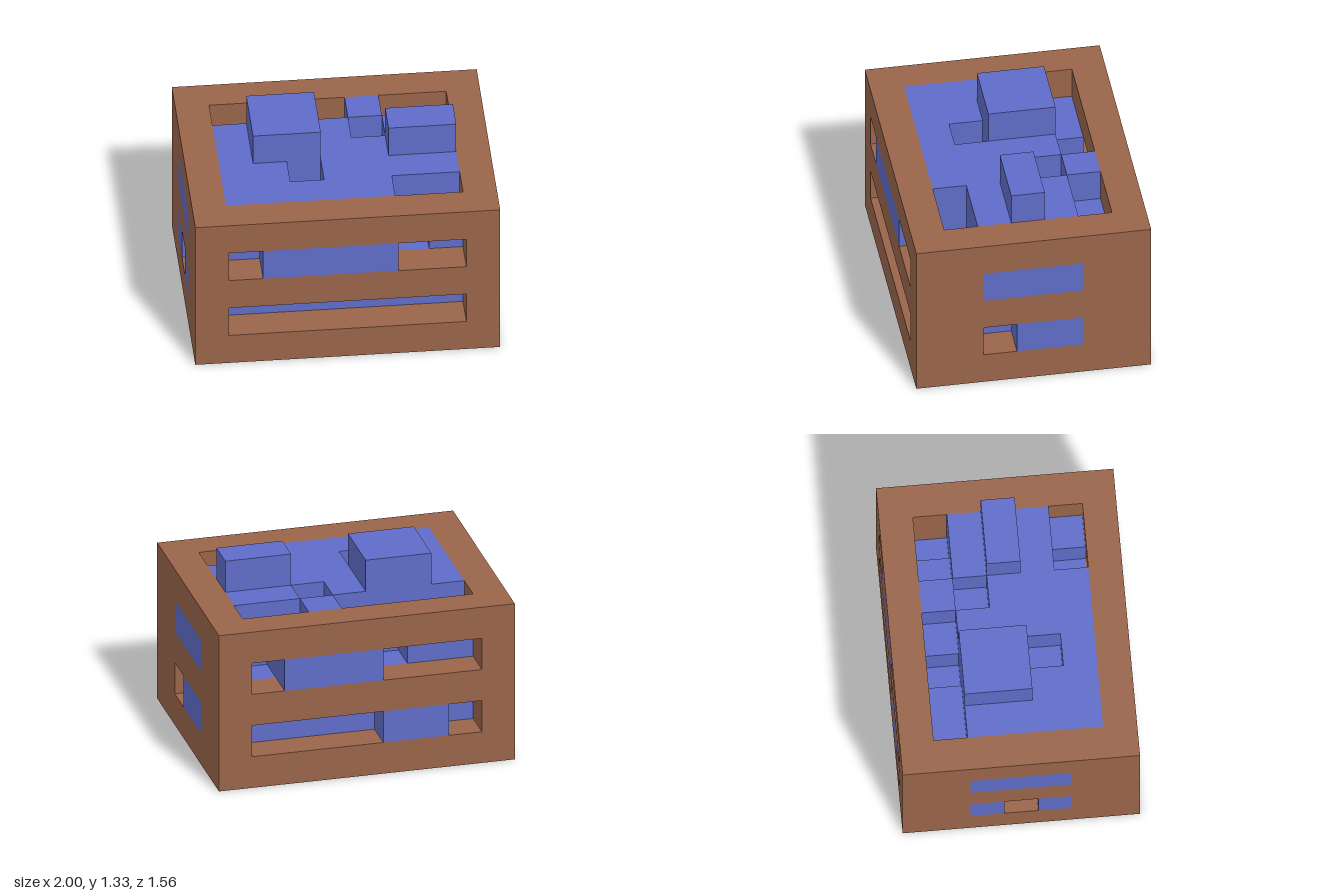
import * as THREE from 'three';
import { mergeGeometries } from 'three/addons/utils/BufferGeometryUtils.js';

const UNIT = 2 / 9; // size of one cube of the puzzle box

// One square face for each of the six directions, set around a unit cell
const FACES = [
  [0, 0, 1, 0, 0], [0, 0, -1, 0, Math.PI],
  [1, 0, 0, 0, Math.PI / 2], [-1, 0, 0, 0, -Math.PI / 2],
  [0, 1, 0, -Math.PI / 2, 0], [0, -1, 0, Math.PI / 2, 0],
].map(([dx, dy, dz, rx, ry]) => ({
  dir: [dx, dy, dz],
  geometry: new THREE.PlaneGeometry(1, 1).translate(0, 0, 0.5).rotateX(rx).rotateY(ry),
}));

export function createModel() {
  const brown = new THREE.MeshStandardMaterial({ color: 0x99644a });
  brown.name = 'brown';
  const blue = new THREE.MeshStandardMaterial({ color: 0x5f6cc8 });
  blue.name = 'blue';

  // Grid of 9 x 6 x 7 cells; each filled cell belongs to a named part
  const cells = new Map();
  const key = (x, y, z) => `${x},${y},${z}`;
  const fill = (part, x0, x1, y0, y1, z0, z1) => {
    for (let x = x0; x <= x1; x++)
      for (let y = y0; y <= y1; y++)
        for (let z = z0; z <= z1; z++) {
          if (part) cells.set(key(x, y, z), { part, x, y, z });
          else cells.delete(key(x, y, z));
        }
  };
  const carve = (...box) => fill(null, ...box);

  // Open crate with two rows of slots on every side
  fill('crate', 0, 8, 0, 4, 0, 6);
  for (const y of [1, 3]) {
    for (const z of [0, 6]) carve(1, 7, y, y, z, z);
    for (const x of [0, 8]) carve(x, x, y, y, 2, 4);
  }

  // Packed blocks inside
  fill('packedBlocks', 1, 7, 1, 4, 1, 5);

  // Gaps in the top layer
  carve(1, 4, 4, 4, 1, 1);
  carve(6, 7, 4, 4, 1, 1);
  carve(5, 5, 4, 4, 2, 2);
  carve(3, 3, 4, 4, 4, 4);
  carve(6, 7, 4, 4, 5, 5);
  // Deeper gaps
  carve(3, 3, 3, 3, 1, 1);
  carve(7, 7, 3, 3, 1, 1);
  carve(6, 6, 3, 3, 5, 5);

  // Blocks reaching out through the slots
  fill('frontSlotBlock', 2, 5, 3, 3, 6, 6);
  fill('backUpperSlotBlock', 4, 6, 3, 3, 0, 0);
  fill('backLowerSlotBlock', 2, 3, 1, 1, 0, 0);
  fill('leftUpperSlotBlock', 8, 8, 3, 3, 2, 4);
  fill('leftLowerSlotBlock', 8, 8, 1, 1, 2, 3);
  fill('rightUpperSlotBlock', 0, 0, 3, 3, 2, 4);
  fill('rightLowerSlotBlocks', 0, 0, 1, 1, 2, 2);
  fill('rightLowerSlotBlocks', 0, 0, 1, 1, 4, 4);

  // Blocks standing above the rim
  fill('largeRaisedBlock', 2, 3, 5, 5, 2, 3);
  fill('smallRaisedBlock', 6, 7, 5, 5, 3, 3);

  // Collect the exposed faces of each part
  const parts = {};
  for (const { part, x, y, z } of cells.values()) {
    for (const { dir, geometry } of FACES) {
      if (cells.has(key(x + dir[0], y + dir[1], z + dir[2]))) continue;
      (parts[part] ??= []).push(geometry.clone().translate(x - 4, y + 0.5, z - 3));
    }
  }

  const model = new THREE.Group();
  model.name = 'puzzleBox';
  for (const [name, faces] of Object.entries(parts)) {
    const geometry = mergeGeometries(faces).scale(UNIT, UNIT, UNIT);
    const mesh = new THREE.Mesh(geometry, name === 'crate' ? brown : blue);
    mesh.name = name;
    model.add(mesh);
  }
  return model;
}
